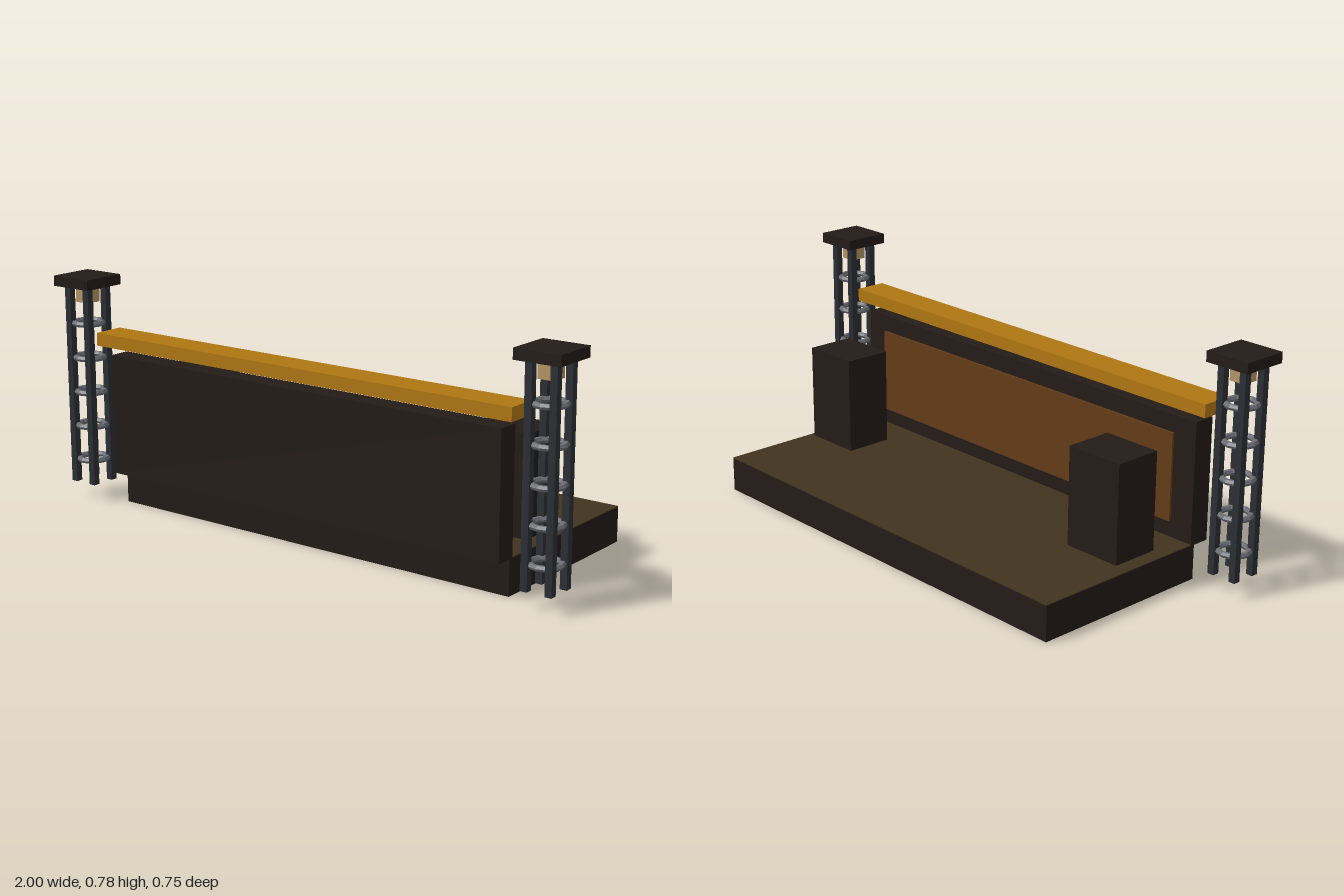
import * as THREE from 'three';

const mat = (color) => new THREE.MeshStandardMaterial({ color, flatShading: true });

export function createModel() {
  const root = new THREE.Group();
  const dark = mat(0x231b17), deck = mat(0x41341f), amber = mat(0xaf7612);
  const steel = mat(0x2a2e34), grey = mat(0x6c6e74), lampMat = mat(0xb39466), wood = mat(0x643c18);

  // Box given by its [min, max] range on each axis
  const box = (name, material, [x0, x1], [y0, y1], [z0, z1], parent = root) => {
    const m = new THREE.Mesh(new THREE.BoxGeometry(x1 - x0, y1 - y0, z1 - z0), material);
    m.position.set((x0 + x1) / 2, (y0 + y1) / 2, (z0 + z1) / 2);
    m.name = name;
    parent.add(m);
    return m;
  };

  // Platform with a lighter floor on top
  box('platform', dark, [-0.782, 0.782], [0, 0.118], [-0.373, 0.272]);
  box('floor', deck, [-0.782, 0.782], [0.118, 0.121], [-0.373, 0.272]);

  // Upright wall, inset panel on its rear side, and the beam above
  box('wall', dark, [-0.782, 0.782], [0.117, 0.53], [0.257, 0.331]);
  box('rearPanel', wood, [-0.695, 0.695], [0.175, 0.472], [0.249, 0.257]);
  box('beam', amber, [-0.828, 0.828], [0.56, 0.604], [0.24, 0.35]);

  for (const side of [-1, 1]) {
    // Cabinet standing on the platform
    const cx = side * 0.641;
    box('cabinet', dark, [cx - 0.104, cx + 0.104], [0.13, 0.461], [-0.042, 0.124]);

    // Truss tower: four posts, rings, lamp and cap
    const tower = new THREE.Group();
    tower.name = 'tower';
    tower.position.set(side * 0.921, 0, 0.295);
    for (const x of [-0.042, 0.042]) for (const z of [-0.042, 0.042]) {
      box('post', steel, [x - 0.0118, x + 0.0118], [0.06, 0.75], [z - 0.0118, z + 0.0118], tower);
    }
    for (let i = 0; i < 5; i++) {
      const ring = new THREE.Mesh(new THREE.TorusGeometry(0.049, 0.01, 6, 12), grey);
      ring.rotation.x = Math.PI / 2;
      ring.position.y = 0.14 + i * 0.12;
      ring.name = 'ring';
      tower.add(ring);
    }
    box('lamp', lampMat, [-0.028, 0.028], [0.692, 0.75], [-0.028, 0.028], tower);
    box('cap', dark, [-0.079, 0.079], [0.749, 0.784], [-0.079, 0.079], tower);
    root.add(tower);
  }
  return root;
}
